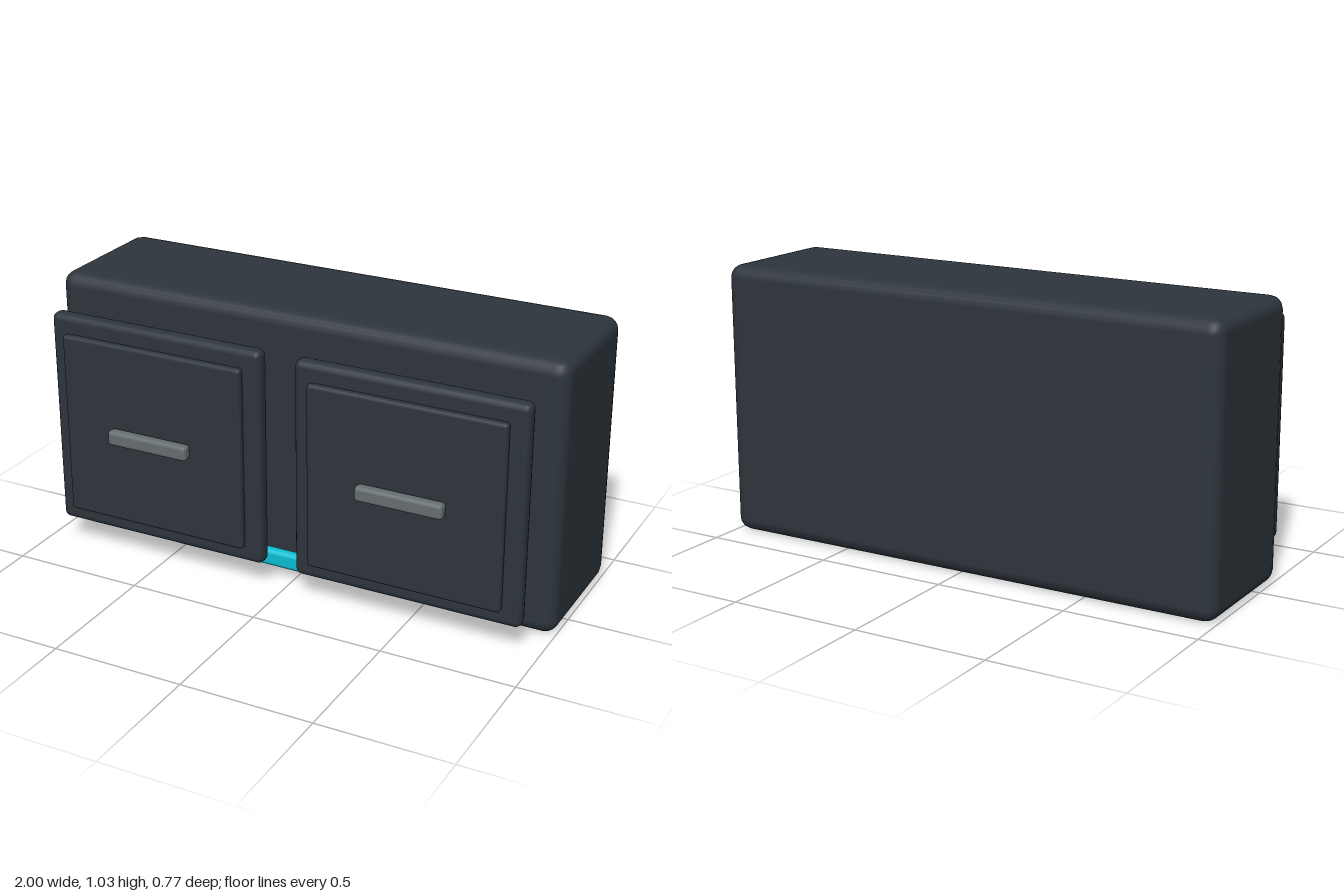
import * as THREE from 'three';
import { RoundedBoxGeometry } from 'three/addons/geometries/RoundedBoxGeometry.js';

export function createModel() {
  const model = new THREE.Group();
  model.name = 'drawerCabinet';

  const material = (name, color) => {
    const m = new THREE.MeshStandardMaterial({ color });
    m.name = name;
    return m;
  };
  const slate = material('dark slate', 0x2d353c);
  const grey = material('handle grey', 0x666e6f);
  const cyan = material('light cyan', 0x0cbdd2);

  // Rounded block given by its lower and upper limits on each axis
  const block = (name, mat, [x0, x1], [y0, y1], [z0, z1], radius) => {
    const geo = new RoundedBoxGeometry(x1 - x0, y1 - y0, z1 - z0, 2, radius);
    const mesh = new THREE.Mesh(geo, mat);
    mesh.name = name;
    mesh.position.set((x0 + x1) / 2, (y0 + y1) / 2, (z0 + z1) / 2);
    return mesh;
  };

  // Cabinet body and the light strip floating in front of it
  model.add(block('body', slate, [-1, 1], [0, 1.027], [-0.385, 0.152], 0.05));
  model.add(block('lightStrip', cyan, [-0.37, 0.37], [0.044, 0.112], [0.17, 0.213], 0.018));

  // Two drawer fronts, each with a raised panel and a bar handle
  for (const [side, cx] of [['left', 0.5], ['right', -0.5]]) {
    const drawer = new THREE.Group();
    drawer.name = side + 'Drawer';
    drawer.position.x = cx;
    drawer.add(
      block('drawerFront', slate, [-0.434, 0.434], [0.1, 0.932], [0.251, 0.314], 0.025),
      block('raisedPanel', slate, [-0.37, 0.37], [0.163, 0.866], [0.311, 0.345], 0.014),
      block('handle', grey, [-0.165, 0.165], [0.486, 0.543], [0.344, 0.387], 0.014)
    );
    model.add(drawer);
  }

  return model;
}
